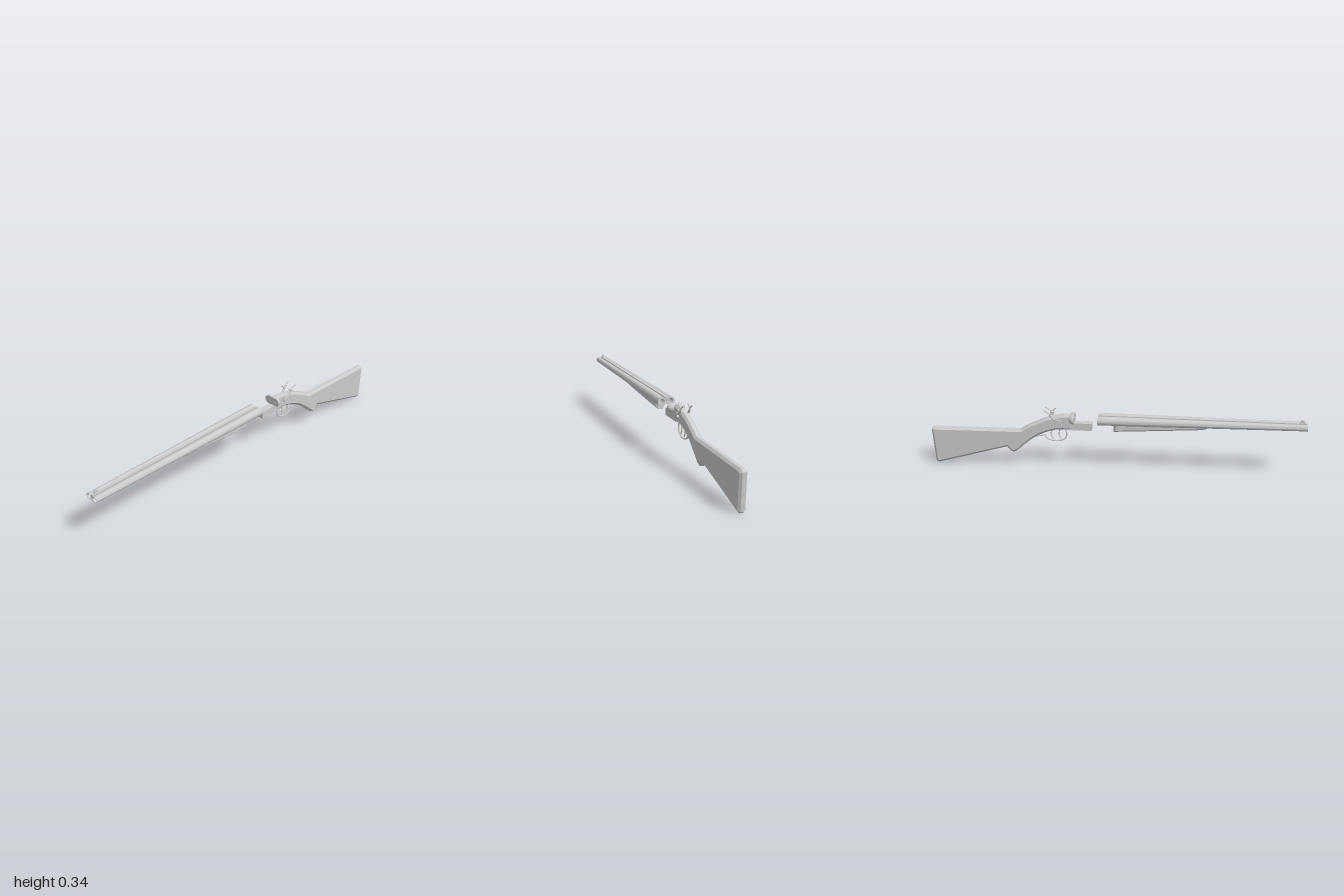
import * as THREE from 'three';
import { toCreasedNormals } from 'three/addons/utils/BufferGeometryUtils.js';

const grey = new THREE.MeshStandardMaterial({ color: 0xcccccc });
const greyDouble = new THREE.MeshStandardMaterial({ color: 0xcccccc, side: THREE.DoubleSide });

function add(parent, name, geometry, material = grey) {
  const mesh = new THREE.Mesh(geometry, material);
  mesh.name = name;
  parent.add(mesh);
  return mesh;
}

// Side outline given as [z, y], given a width across x with bevelled edges.
function sidePlate(shape, halfWidth, bevel, bevelDepth = bevel) {
  const depth = 2 * (halfWidth - bevelDepth);
  const g = new THREE.ExtrudeGeometry(shape, {
    depth, bevelEnabled: bevel > 0, bevelSize: bevel, bevelOffset: -bevel,
    bevelThickness: bevelDepth, bevelSegments: 1, curveSegments: 10,
  });
  g.translate(0, 0, -depth / 2);
  g.rotateY(-Math.PI / 2);
  return g;
}

const outline = (pts) => new THREE.Shape(pts.map(([z, y]) => new THREE.Vector2(z, y)));

// Box from its limits: half width in x, then y and z ranges.
function box(hx, y0, y1, z0, z1) {
  return new THREE.BoxGeometry(2 * hx, y1 - y0, z1 - z0).translate(0, (y0 + y1) / 2, (z0 + z1) / 2);
}

// Round rod through [z, y] points in the middle plane.
function rod(pts, radius) {
  const curve = new THREE.CatmullRomCurve3(pts.map(([z, y]) => new THREE.Vector3(0, y, z)));
  return new THREE.TubeGeometry(curve, 40, radius, 8, false);
}

// Open tapered tube from breech to muzzle, leaning slightly inwards and upwards.
function barrelGeometry(side) {
  const zBreech = -0.09, zMuzzle = 1;
  const profile = [[0.0145, zBreech], [0.0235, zBreech], [0.0235, 0.02], [0.0165, zMuzzle], [0.0145, zMuzzle], [0.0145, zBreech]];
  const g = new THREE.LatheGeometry(profile.map(([r, h]) => new THREE.Vector2(r, h)), 32);
  g.rotateX(Math.PI / 2);
  const p = g.attributes.position;
  for (let i = 0; i < p.count; i++) {
    const t = (p.getZ(i) - zBreech) / (zMuzzle - zBreech);
    p.setX(i, p.getX(i) + side * THREE.MathUtils.lerp(0.024, 0.021, t));
    p.setY(i, p.getY(i) + THREE.MathUtils.lerp(0.294, 0.3, t));
  }
  return toCreasedNormals(g, 0.6);
}

// Flat-faced breech with two domes at the back, made by stretching a half sphere sideways.
function breechGeometry() {
  const g = new THREE.SphereGeometry(0.0242, 32, 24);
  const p = g.attributes.position;
  for (let i = 0; i < p.count; i++) {
    const x = p.getX(i), z = p.getZ(i);
    p.setX(i, x + (Math.abs(x) < 1e-5 ? 0 : Math.sign(x) * 0.024));
    p.setZ(i, Math.min(z, 0.004));
  }
  g.translate(0, 0.294, -0.22);
  return toCreasedNormals(g, 0.6);
}

// S-shaped hammer with a striking beak in front and a thumb spur behind.
function hammerShape() {
  const s = new THREE.Shape();
  s.moveTo(-0.3, 0.268);
  s.bezierCurveTo(-0.318, 0.268, -0.322, 0.29, -0.34, 0.3);
  s.bezierCurveTo(-0.352, 0.307, -0.35, 0.316, -0.342, 0.321);
  s.quadraticCurveTo(-0.33, 0.326, -0.318, 0.338);
  s.lineTo(-0.314, 0.331);
  s.quadraticCurveTo(-0.322, 0.32, -0.335, 0.314);
  s.lineTo(-0.335, 0.314);
  return s;
}

export function createModel() {
  const model = new THREE.Group();
  model.name = 'doubleBarrelShotgun';

  // Barrel assembly, detached from the stock
  const barrels = new THREE.Group();
  barrels.name = 'barrelAssembly';
  model.add(barrels);
  for (const side of [1, -1]) {
    add(barrels, side > 0 ? 'leftBarrel' : 'rightBarrel', barrelGeometry(side), greyDouble);
  }
  add(barrels, 'topRib', box(0.007, 0.304, 0.317, -0.09, 0.998));
  add(barrels, 'lowerRib', box(0.007, 0.284, 0.29, -0.088, 0.998));
  const sight = new THREE.Shape();
  sight.moveTo(0.985, 0.312);
  sight.lineTo(0.985, 0.325);
  sight.absarc(0.974, 0.324, 0.01, 0, Math.PI, false);
  sight.lineTo(0.955, 0.312);
  add(barrels, 'frontSight', sidePlate(sight, 0.003, 0));
  add(barrels, 'foreEnd', sidePlate(outline([
    [-0.005, 0.23], [0.43, 0.259], [0.475, 0.265], [0.497, 0.278], [0.497, 0.29], [-0.005, 0.29],
  ]), 0.024, 0.01));

  // Stock and action
  const stock = new THREE.Group();
  stock.name = 'stockAssembly';
  model.add(stock);
  add(stock, 'stock', sidePlate(outline([
    [-0.225, 0.232], [-0.225, 0.315], [-0.27, 0.315], [-0.32, 0.305], [-0.37, 0.29], [-0.42, 0.268], [-0.47, 0.243],
    [-0.505, 0.22], [-0.53, 0.219], [-0.985, 0.212], [-0.998, 0.2], [-0.987, 0.012], [-0.975, 0.003],
    [-0.585, 0.115], [-0.568, 0.092], [-0.55, 0.085], [-0.53, 0.095], [-0.49, 0.131], [-0.45, 0.165],
    [-0.41, 0.192], [-0.36, 0.214], [-0.31, 0.228],
  ]), 0.02, 0.012, 0.011));
  add(stock, 'actionBar', box(0.0185, 0.231, 0.271, -0.27, -0.122));
  add(stock, 'standingBreech', breechGeometry());

  // Hammers on each side of the action
  for (const side of [1, -1]) {
    const hammer = new THREE.Group();
    hammer.name = side > 0 ? 'leftHammer' : 'rightHammer';
    hammer.position.x = side * 0.0245;
    stock.add(hammer);
    const arm = [[-0.3, 0.262], [-0.29, 0.272], [-0.293, 0.284], [-0.312, 0.286], [-0.33, 0.296], [-0.345, 0.318]];
    add(hammer, 'hammerArm', rod(arm, 0.005));
    add(hammer, 'hammerBeak', rod([[-0.348, 0.306], [-0.343, 0.319], [-0.331, 0.326], [-0.318, 0.337]], 0.0035));
    add(hammer, 'hammerSpur', rod([[-0.341, 0.312], [-0.35, 0.323], [-0.359, 0.331], [-0.377, 0.341]], 0.003));
    add(hammer, 'hammerPivot', new THREE.CylinderGeometry(0.009, 0.009, 0.012, 16)
      .rotateZ(Math.PI / 2).translate(-side * 0.001, 0.268, -0.302));
  }

  // Trigger guard with its rear tang, and two triggers
  add(stock, 'triggerGuard', rod([
    [-0.268, 0.232], [-0.259, 0.205], [-0.268, 0.175], [-0.3, 0.16], [-0.34, 0.161],
    [-0.368, 0.174], [-0.378, 0.19], [-0.4, 0.186], [-0.44, 0.178],
  ], 0.004));
  for (const z of [-0.29, -0.333]) {
    add(stock, 'trigger', rod([[z, 0.235], [z - 0.009, 0.21], [z - 0.009, 0.19], [z + 0.002, 0.171]], 0.0035));
  }
  return model;
}
